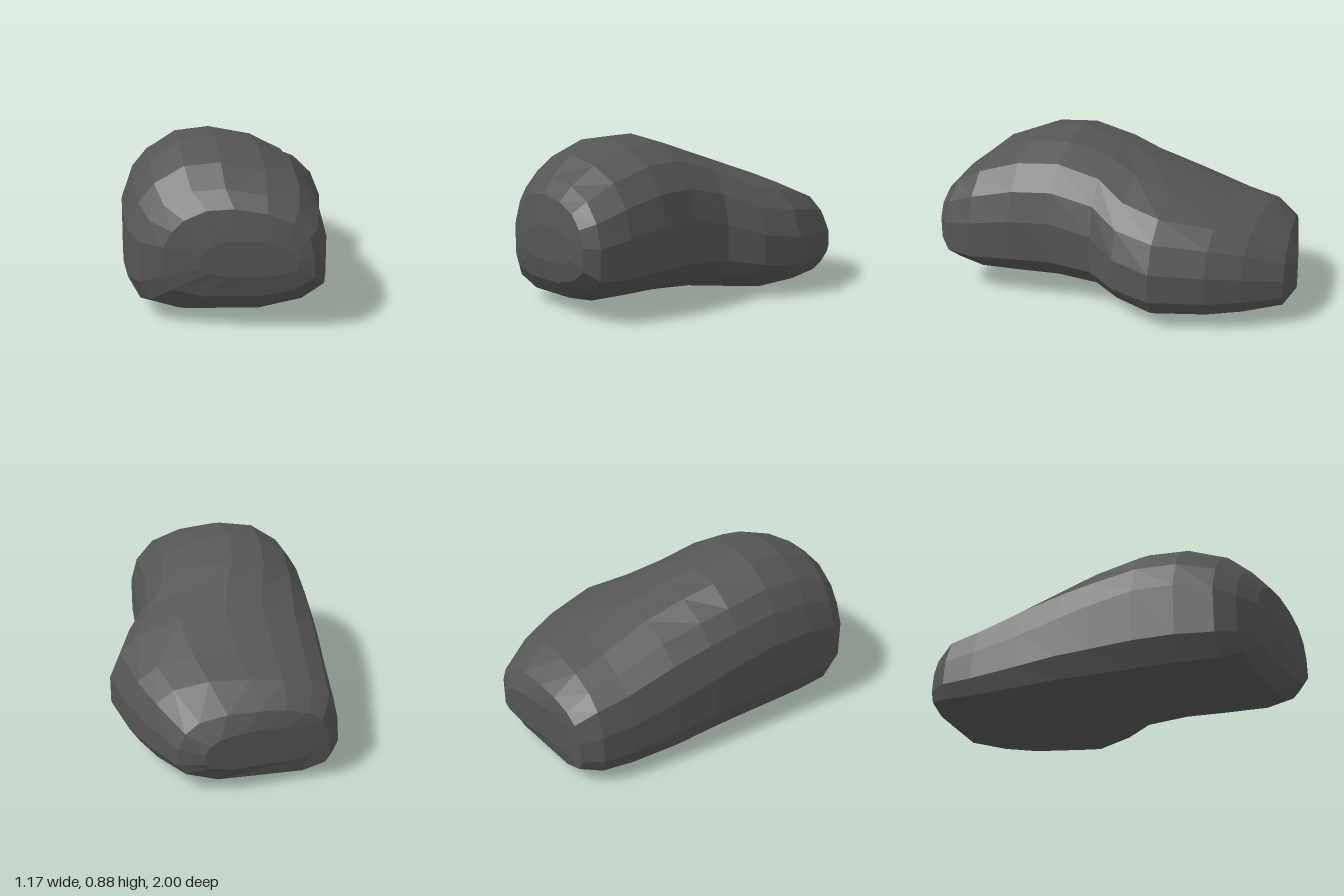
import * as THREE from 'three';

// Cross-section outlines in unit space, counter-clockwise seen from the front
const domed = [[1, .24], [1, .5], [.96, .69], [.86, .85], [.69, .95], [.47, 1], [.29, .975], [.14, .86],
  [.06, .73], [0, .55], [0, .22], [.06, .07], [.25, 0], [.65, .02], [.88, .11]];
const flatTopped = [[1, .28], [1, .53], [.95, .76], [.86, .91], [.68, .99], [.47, 1], [.3, .98], [.15, .9],
  [.06, .78], [.01, .52], [0, .25], [.03, .1], [.18, 0], [.74, 0], [.95, .14]];

// Sections front to back:
// z, xMin, xMax, yMin, yMax, blend to flatTopped, z skew along x, drop of the top towards +x
const sections = [
  [.965, -.16, .30, .28, .46, 0, .10, 0],
  [.94, -.34, .38, .17, .61, 0, .12, 0],
  [.87, -.46, .435, .08, .69, 0, .11, 0],
  [.74, -.52, .465, .04, .79, 0, .04, 0],
  [.52, -.55, .45, .03, .87, 0, 0, 0],
  [.30, -.565, .415, .025, .88, .05, 0, 0],
  [.06, -.575, .42, .02, .815, .3, 0, .05],
  [-.11, -.585, .525, .015, .755, .65, 0, .18],
  [-.33, -.59, .585, 0, .675, 1, 0, .12],
  [-.60, -.59, .49, .005, .57, 1, 0, 0],
  [-.77, -.58, .395, .02, .52, 1, 0, 0],
  [-.93, -.52, .25, .05, .42, 1, -.11, 0],
  [-.98, -.44, .12, .13, .33, 1, -.21, 0],
];

function makeRing([z, x0, x1, y0, y1, blend, skew, drop]) {
  return domed.map(([u, v], j) => {
    const [bu, bv] = flatTopped[j];
    const x = THREE.MathUtils.lerp(x0, x1, THREE.MathUtils.lerp(u, bu, blend));
    const top = y1 - drop * Math.max(x, 0);
    const y = THREE.MathUtils.lerp(y0, top, THREE.MathUtils.lerp(v, bv, blend));
    return new THREE.Vector3(x, y, z + skew * x);
  });
}

const centreOf = ring => ring.reduce((sum, p) => sum.add(p), new THREE.Vector3()).divideScalar(ring.length);

function loft(rings) {
  const n = rings[0].length;
  const points = rings.flat();
  const front = points.push(centreOf(rings[0])) - 1;
  const back = points.push(centreOf(rings[rings.length - 1])) - 1;
  const last = (rings.length - 1) * n;
  const index = [];
  for (let j = 0; j < n; j++) {
    const k = (j + 1) % n;
    for (let i = 0; i < last; i += n) {
      index.push(i + j, i + n + j, i + k, i + k, i + n + j, i + n + k);
    }
    // end caps
    index.push(front, j, k, back, last + k, last + j);
  }
  const geometry = new THREE.BufferGeometry().setFromPoints(points);
  geometry.setIndex(index);
  const faceted = geometry.toNonIndexed();
  faceted.computeVertexNormals();
  return faceted;
}

export function createModel() {
  const stone = new THREE.MeshStandardMaterial({ color: 0x555555 });
  stone.name = 'dark grey stone';
  stone.flatShading = true;

  const boulder = new THREE.Mesh(loft(sections.map(makeRing)), stone);
  boulder.name = 'boulder';

  const group = new THREE.Group();
  group.name = 'rock';
  group.add(boulder);
  return group;
}
